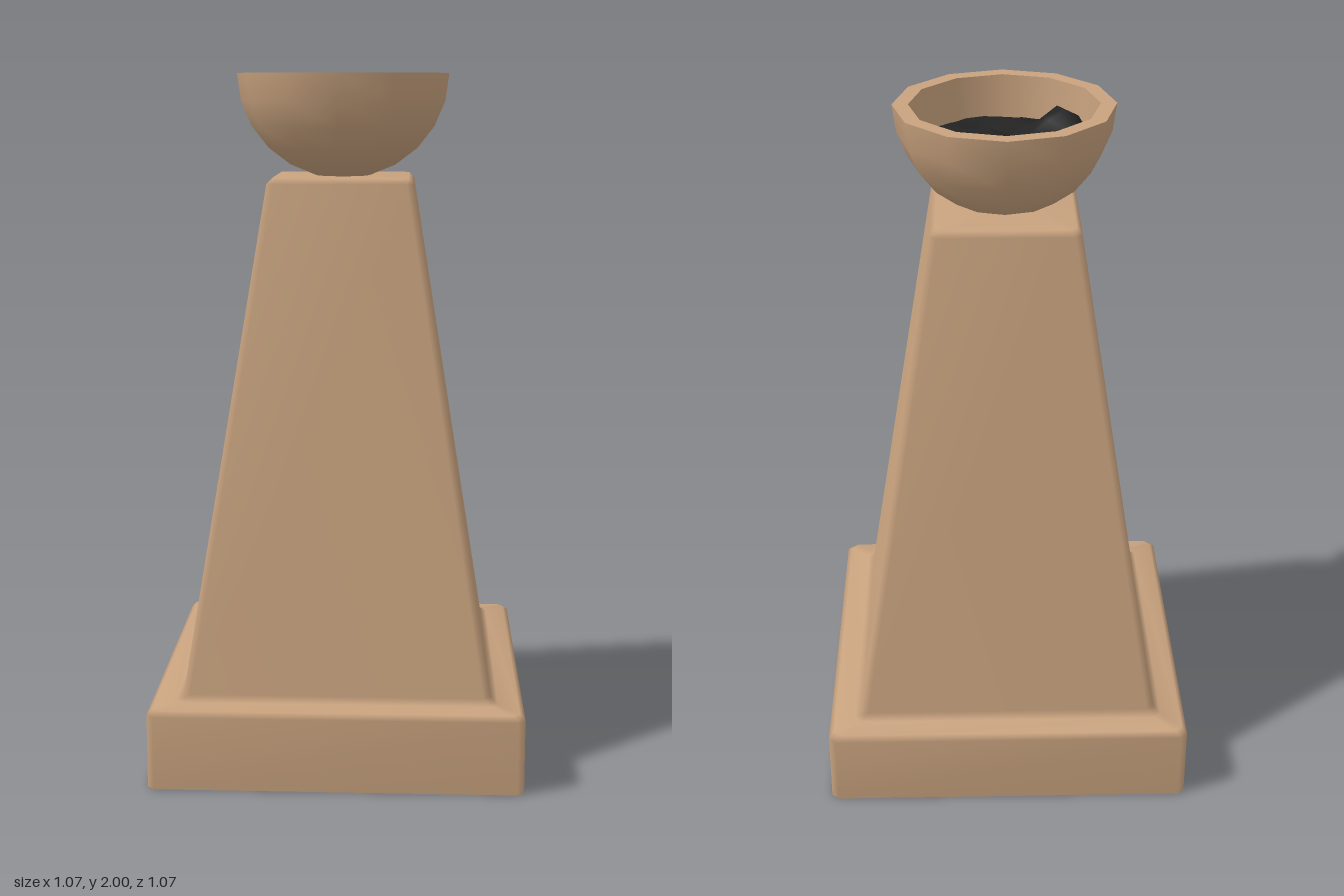
import * as THREE from 'three';

const clay = new THREE.MeshStandardMaterial({ color: 0xc8a27e, side: THREE.DoubleSide });
clay.name = 'clay';
const charcoal = new THREE.MeshStandardMaterial({ color: 0x232323, side: THREE.DoubleSide });
charcoal.name = 'charcoal';

function addMesh(group, geometry, material, name) {
  const mesh = new THREE.Mesh(geometry, material);
  mesh.name = name;
  group.add(mesh);
  return mesh;
}

// Stacked square sections with chamfered corners; rows are [height, half width]
function squareShell(rows, chamfer) {
  const pos = [], index = [];
  for (const [y, h] of rows) {
    const k = h - chamfer;
    for (const [x, z] of [[-k, h], [k, h], [h, k], [h, -k], [k, -h], [-k, -h], [-h, -k], [-h, k]]) {
      pos.push(x, y, z);
    }
  }
  for (let r = 0; r < rows.length - 1; r++) {
    for (let i = 0; i < 8; i++) {
      const a = r * 8 + i, b = r * 8 + (i + 1) % 8;
      index.push(a, b, b + 8, a, b + 8, a + 8);
    }
  }
  // Flat cap on the last section
  const top = (rows.length - 1) * 8;
  pos.push(0, rows[rows.length - 1][0], 0);
  for (let i = 0; i < 8; i++) index.push(top + 8, top + i, top + (i + 1) % 8);
  const g = new THREE.BufferGeometry();
  g.setAttribute('position', new THREE.Float32BufferAttribute(pos, 3));
  g.setIndex(index);
  g.computeVertexNormals();
  return g;
}

const lathe = (points) => new THREE.LatheGeometry(points.map(([x, y]) => new THREE.Vector2(x, y)), 12);

export function createModel() {
  const model = new THREE.Group();
  model.name = 'brazier';

  // Hollow plinth and tapering shaft, open underneath
  addMesh(model, squareShell([
    [0, 0.535], [0.215, 0.535], [0.23, 0.52], [0.233, 0.46],
    [0.25, 0.44], [1.69, 0.21], [1.705, 0.195],
  ], 0.02), clay, 'pedestal');

  // Half-round bowl with a thick rim
  const bowl = new THREE.Group();
  bowl.name = 'bowl';
  model.add(bowl);
  const outer = [];
  for (let i = 0; i <= 6; i++) {
    const a = (i / 6) * Math.PI / 2;
    outer.push([0.31 * Math.sin(a), 2 - 0.305 * Math.cos(a)]);
  }
  addMesh(bowl, lathe(outer), clay, 'bowlOutside');
  addMesh(bowl, lathe([[0.31, 2], [0.265, 2]]), clay, 'bowlRim');
  addMesh(bowl, lathe([[0.265, 2], [0.257, 1.87]]), clay, 'bowlInside');

  // Uneven heap of coals
  const coals = new THREE.RingGeometry(0, 0.258, 24, 6).rotateX(-Math.PI / 2);
  const p = coals.attributes.position;
  const bump = (x, z, cx, cz, h, w) => h * Math.max(0, 1 - Math.hypot(x - cx, z - cz) / w);
  for (let i = 0; i < p.count; i++) {
    const x = p.getX(i), z = p.getZ(i);
    const edge = Math.min(1, (0.258 - Math.hypot(x, z)) / 0.04);
    const rough = 0.008 * Math.sin(x * 41 + z * 17) + 0.008 * Math.cos(z * 37 - x * 23);
    const heap = bump(x, z, -0.17, 0.06, 0.08, 0.13) + bump(x, z, 0.13, -0.03, 0.055, 0.15);
    p.setY(i, 1.875 + edge * (0.015 + rough + heap));
  }
  coals.computeVertexNormals();
  addMesh(bowl, coals, charcoal, 'coals');

  return model;
}
